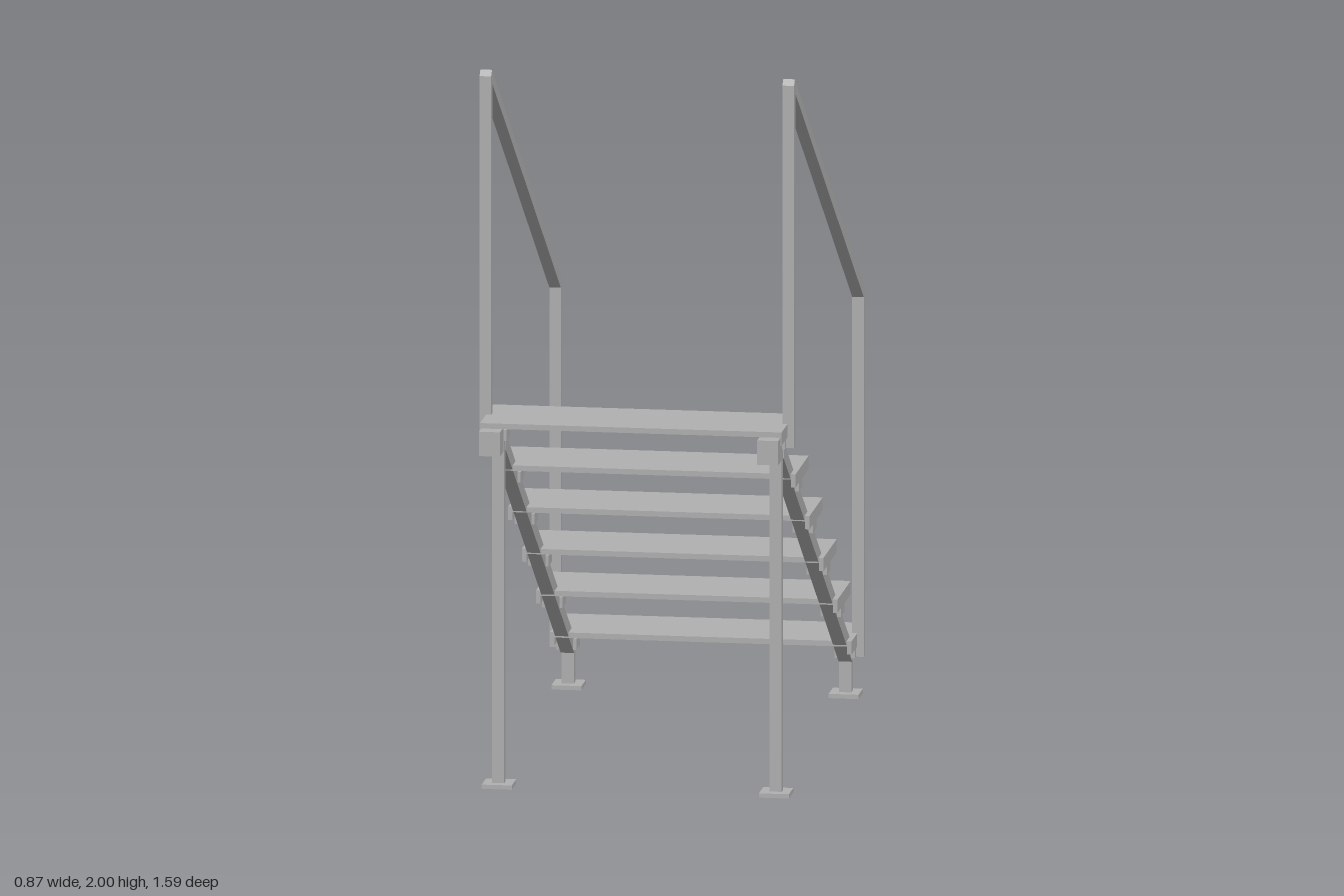
import * as THREE from 'three';

const steel = new THREE.MeshStandardMaterial({ color: 0xb0b0b0 });
steel.name = 'galvanised grey';

export function createModel() {
  const group = new THREE.Group();
  group.name = 'staircase';

  // Box given by its limits on each axis
  function box(name, [x0, x1], [y0, y1], [z0, z1]) {
    const mesh = new THREE.Mesh(new THREE.BoxGeometry(x1 - x0, y1 - y0, z1 - z0), steel);
    mesh.position.set((x0 + x1) / 2, (y0 + y1) / 2, (z0 + z1) / 2);
    mesh.name = name;
    group.add(mesh);
  }

  // Same box on both sides of the stair
  function pair(name, [x0, x1], y, z) {
    box(name + 'Left', [x0, x1], y, z);
    box(name + 'Right', [-x1, -x0], y, z);
  }

  // Side outline in (z, y), extruded across x, on both sides
  function profilePair(name, [x0, x1], points) {
    const shape = new THREE.Shape(points.map(([z, y]) => new THREE.Vector2(z, y)));
    const geo = new THREE.ExtrudeGeometry(shape, { depth: x1 - x0, bevelEnabled: false });
    geo.rotateY(-Math.PI / 2);
    for (const [label, x] of [['Left', x1], ['Right', -x0]]) {
      const mesh = new THREE.Mesh(geo, steel);
      mesh.position.x = x;
      mesh.name = name + label;
      group.add(mesh);
    }
  }

  // Treads: thin plate, turned-down ends and a clip onto the stringer
  const count = 6, run = 0.26, rise = 0.1725;
  for (let i = 0; i < count; i++) {
    const z = 0.63 - i * run;
    const top = 1.04 - i * rise;
    const depth = [z - 0.122, z + 0.122];
    box('treadPlate', [-0.416, 0.416], [top - 0.015, top], depth);
    pair('treadFlange', [0.404, 0.416], [top - 0.037, top - 0.015], depth);
    pair('treadClip', [0.356, 0.412], [top - 0.067, top - 0.037], [z - 0.034, z + 0.034]);
  }

  // Sloping stringers
  profilePair('stringer', [0.365, 0.402], [
    [0.6, 0.975], [0.615, 0.975], [0.615, 0.937], [-0.652, 0.098],
    [-0.652, 0.112], [-0.68, 0.112], [-0.68, 0.128],
  ]);

  // Legs with foot plates
  for (const [name, z, height] of [['frontLeg', 0.628, 0.973], ['backLeg', -0.667, 0.112]]) {
    pair(name, [0.366, 0.4], [0.01, height], [z - 0.0135, z + 0.0135]);
    pair(name + 'Foot', [0.341, 0.424], [0, 0.012], [z - 0.041, z + 0.041]);
  }

  // Hook blocks under the top tread
  pair('hookBlock', [0.355, 0.413], [0.957, 1.025], [0.728, 0.795]);

  // Handrails: two posts and a mitred sloping bar
  profilePair('handrail', [0.402, 0.434], [
    [0.642, 0.973], [0.642, 1.985], [0.625, 2.0], [-0.667, 1.145],
    [-0.68, 1.13], [-0.68, 0.112], [-0.655, 0.112], [-0.655, 1.117],
    [0.615, 1.957], [0.615, 0.973],
  ]);

  return group;
}
